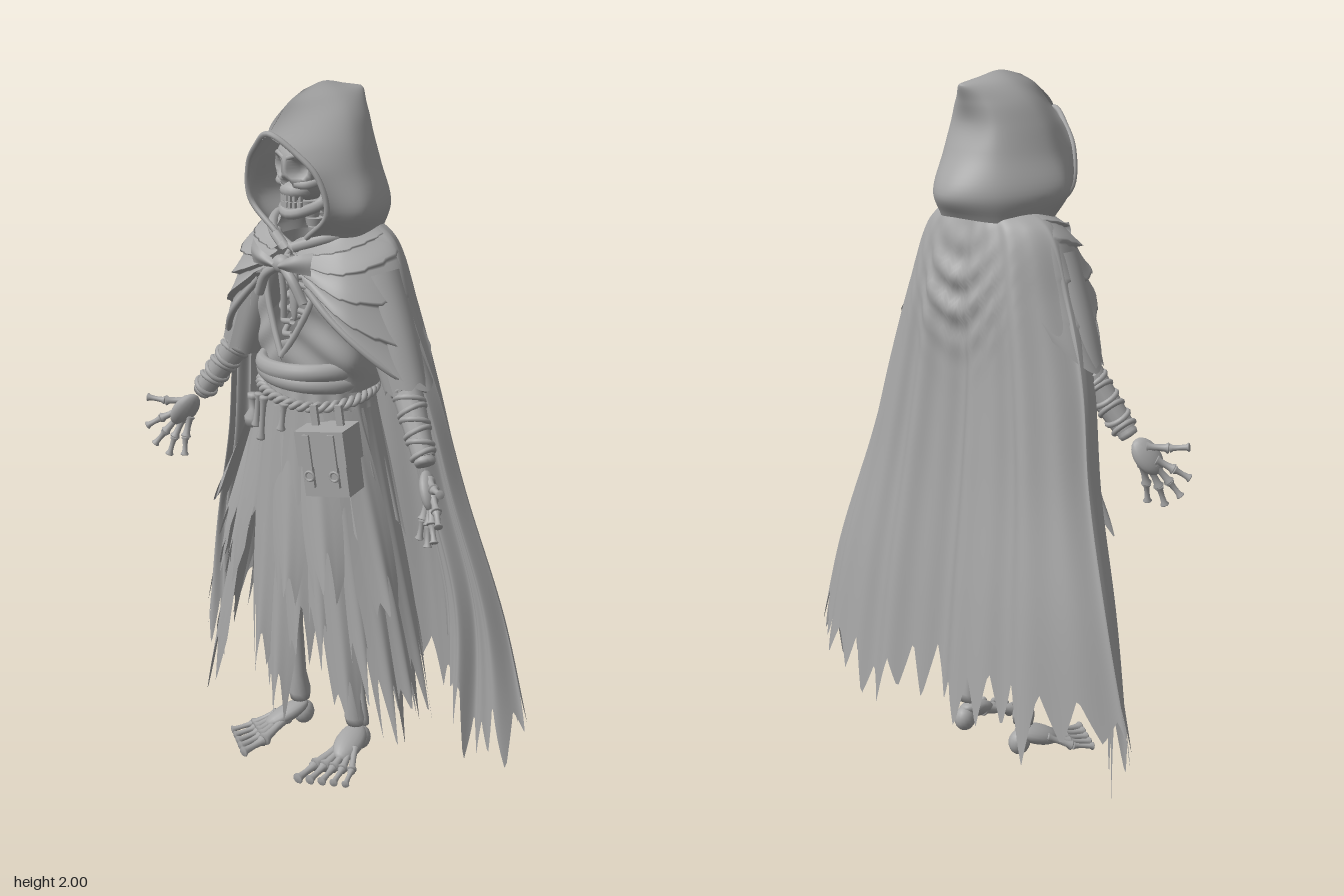
import * as THREE from 'three';

const grey = new THREE.MeshStandardMaterial({ color: 0xa6a6a6, side: THREE.DoubleSide });
grey.name = 'weathered grey';
const V = (x, y, z) => new THREE.Vector3(x, y, z);
const hash = (i, s) => { const n = Math.sin(i * 127.1 + s * 311.7) * 43758.5453; return n - Math.floor(n); };

// torn edge: spikes and notches along u, 0 = full length, 1 = deepest notch
const rag = (n, seed) => u => {
  const i = Math.floor(u * n), f = u * n - i;
  const k = j => (j % 2 ? 0.45 + 0.55 * hash(j, seed) : 0.35 * hash(j, seed + 7));
  return k(i) * (1 - f) + k(i + 1) * f;
};
// half a row, back centre outwards, mirrored to a whole row
const sym = row => [...row.slice(1).reverse().map(([x, y, z]) => [-x, y, z]), ...row];

export function createModel() {
  const root = new THREE.Group();
  root.name = 'hoodedSkeleton';
  const add = (name, geo, pos, parent = root) => {
    const m = new THREE.Mesh(geo, grey);
    m.name = name;
    if (pos) m.position.set(...pos);
    parent.add(m);
    return m;
  };
  // smooth sheet through rows of points
  const cloth = (name, rows, { nu = 60, nv = 30, torn = () => 0, fold = () => {} } = {}) => {
    const curves = rows.map(r => new THREE.CatmullRomCurve3(r.map(p => V(...p))));
    const pos = [], idx = [];
    for (let i = 0; i <= nu; i++) {
      const u = i / nu, col = new THREE.CatmullRomCurve3(curves.map(c => c.getPoint(u))), end = 1 - torn(u);
      for (let j = 0; j <= nv; j++) {
        const v = j / nv * end, p = col.getPoint(v);
        fold(p, u, v);
        pos.push(p.x, p.y, p.z);
        if (i < nu && j < nv) {
          const a = i * (nv + 1) + j, b = a + nv + 1;
          idx.push(a, a + 1, b, b, a + 1, b + 1);
        }
      }
    }
    const g = new THREE.BufferGeometry();
    g.setAttribute('position', new THREE.Float32BufferAttribute(pos, 3));
    g.setIndex(idx);
    g.computeVertexNormals();
    return add(name, g);
  };
  const tube = (name, pts, r, closed = false, seg = 24) =>
    add(name, new THREE.TubeGeometry(new THREE.CatmullRomCurve3(pts.map(p => V(...p)), closed), seg, r, 8, closed));
  const ball = (name, pos, r, sc = [1, 1, 1]) => {
    const m = add(name, new THREE.SphereGeometry(r, 16, 12), pos);
    m.scale.set(...sc);
    return m;
  };
  const along = (m, a, b) => {
    m.position.set(...a);
    m.quaternion.setFromUnitVectors(V(0, 1, 0), V(...b).sub(V(...a)).normalize());
    return m;
  };
  // knobbed bone between two joints
  const shaft = [[0, 0], [1.3, 0.01], [1.5, 0.06], [1, 0.18], [0.85, 0.5], [1, 0.82], [1.5, 0.94], [1.3, 0.99], [0, 1]];
  const bone = (name, a, b, r) => {
    const len = V(...a).distanceTo(V(...b));
    return along(add(name, new THREE.LatheGeometry(shaft.map(([x, y]) => new THREE.Vector2(x * r, y * len)), 10)), a, b);
  };
  const ellipse = (y, rx, rz, zc, a0, a1, n) => Array.from({ length: n + 1 }, (_, i) => {
    const a = (a0 + (a1 - a0) * i / n) * Math.PI / 180;
    return [Math.sin(a) * rx, y, zc + Math.cos(a) * rz];
  });

  // hood: rows from hem to the peak seam, each from the back round to the brim
  const hoodRows = [
    [[0, 1.61, -0.14], [0.12, 1.6, -0.08], [0.165, 1.6, 0.07], [0.06, 1.6, 0.16]],
    [[0, 1.67, -0.175], [0.13, 1.67, -0.1], [0.205, 1.68, 0.08], [0.145, 1.68, 0.17]],
    [[0, 1.78, -0.12], [0.105, 1.78, -0.085], [0.17, 1.78, 0.06], [0.13, 1.78, 0.19]],
    [[0, 1.86, -0.09], [0.09, 1.86, -0.07], [0.14, 1.86, 0.06], [0.075, 1.84, 0.215]],
    [[0, 1.92, -0.105], [0.07, 1.92, -0.07], [0.105, 1.92, 0.05], [0, 1.885, 0.24]],
    [[0, 1.965, -0.12], [0.04, 1.965, -0.07], [0.06, 1.965, 0.03], [0, 1.955, 0.17]],
    [[0, 1.972, -0.115], [0, 1.985, -0.05], [0, 2, 0.03], [0, 1.985, 0.11]]];
  cloth('hood', hoodRows.map(sym), { nu: 64, nv: 40 });
  const brim = hoodRows.slice(0, 5).map(r => r[3]);
  tube('hoodBrim', [...brim, ...brim.slice(0, 4).reverse().map(([x, y, z]) => [-x, y, z])], 0.008, false, 60);

  // cape, draped in swags behind the shoulders and torn along the hem
  const capeTear = rag(62, 3);
  cloth('cape', [
    [[0, 1.64, -0.08], [0.08, 1.64, -0.07], [0.15, 1.635, 0], [0.13, 1.63, 0.06], [0.09, 1.62, 0.11]],
    [[0, 1.58, -0.1], [0.13, 1.58, -0.095], [0.235, 1.58, 0], [0.2, 1.56, 0.08], [0.11, 1.55, 0.14]],
    [[0, 1.4, -0.125], [0.18, 1.4, -0.125], [0.305, 1.4, 0], [0.28, 1.4, 0.07], [0.2, 1.4, 0.12]],
    [[0, 1.18, -0.135], [0.22, 1.18, -0.145], [0.385, 1.18, -0.02], [0.36, 1.18, 0.03], [0.28, 1.18, 0.05]],
    [[0, 0.9, -0.165], [0.26, 0.9, -0.175], [0.455, 0.9, -0.06], [0.42, 0.9, -0.01], [0.34, 0.9, 0.01]],
    [[0, 0.55, -0.21], [0.3, 0.55, -0.225], [0.57, 0.55, -0.1], [0.51, 0.55, -0.04], [0.41, 0.62, -0.01]],
    [[0, 0.16, -0.25], [0.33, 0.14, -0.265], [0.67, 0.2, -0.11], [0.53, 0.02, -0.03], [0.43, 0.46, -0.01]],
  ].map(sym), { nu: 296, nv: 60, torn: u => 0.1 * capeTear(u), fold: (p, u, v) => {
    const w = Math.min(1, v * 1.6);
    p.z += w * (0.013 * Math.cos((u - 0.5) * 58) + 0.006 * Math.sin(u * 117 + 1));
    if (p.z < -0.05) {
      const swag = Math.exp(-((p.x / 0.12) ** 2) - (((p.y - 1.4) / 0.13) ** 2));
      p.z -= 0.012 * swag * (1 + Math.sin((p.y - p.x * p.x * 6) * 62));
    }
  } });

  // robe body, open in a V over the ribs
  cloth('robeBody', [
    [[0, 1.56, -0.07], [0.14, 1.56, -0.05], [0.17, 1.55, 0.05], [0.1, 1.54, 0.13]],
    [[0, 1.44, -0.08], [0.16, 1.44, -0.05], [0.19, 1.43, 0.08], [0.085, 1.43, 0.165]],
    [[0, 1.34, -0.08], [0.16, 1.34, -0.05], [0.185, 1.33, 0.1], [0.045, 1.34, 0.18]],
    [[0, 1.26, -0.08], [0.15, 1.26, -0.05], [0.18, 1.25, 0.1], [0.004, 1.27, 0.2]],
    [[0, 1.17, -0.07], [0.14, 1.17, -0.05], [0.165, 1.17, 0.09], [0, 1.17, 0.2]],
  ].map(sym), { nu: 80, fold: (p, u, v) => { if (p.z > 0) p.z += 0.006 * Math.sin(p.y * 60 + Math.abs(p.x) * 45); } });
  for (const [y, r, tilt] of [[1.225, 0.02, 0.05], [1.2, 0.018, -0.06]]) {
    const sash = add('sash', new THREE.TorusGeometry(0.15, r, 12, 48), [0, y, 0.06]);
    sash.rotation.set(Math.PI / 2, tilt, 0);
    sash.scale.set(1.03, 1, 1.3);
  }

  // twisted rope belt
  for (const k of [0, 1]) tube('ropeBelt', Array.from({ length: 120 }, (_, i) => {
    const a = i / 120 * Math.PI * 2, t = a * 20 + k * Math.PI;
    return [Math.sin(a) * (0.168 + 0.008 * Math.cos(t)), 1.145 + 0.008 * Math.sin(t) + 0.012 * Math.cos(a * 2 + 2),
      0.055 + Math.cos(a) * (0.152 + 0.008 * Math.cos(t))];
  }), 0.009, true, 300);

  // skirt top and hanging strips: angle, hem height, outward flare
  const skirtTear = rag(30, 9);
  cloth('skirtTop', [[1.2, 0.16, 0.14], [1.1, 0.175, 0.15], [0.95, 0.22, 0.16], [0.72, 0.28, 0.175]]
    .map(([y, rx, rz]) => ellipse(y, rx, rz, 0.05, -125, 125, 12)), {
    nu: 150, torn: u => 0.25 * skirtTear(u), fold: (p, u, v) => { const f = 1 + 0.08 * v * Math.sin(u * 70); p.x *= f; p.z *= f; } });
  [[-112, 0.4, 0], [-97, 0.25, 0], [-82, 0.18, 0], [-66, 0.45, 0.02], [-54, 0.24, 0], [-42, 0.08, 0.01], [-24, 0.66, 0], [-7, 0.26, 0],
    [4, 0.15, 0.01], [17, 0.3, 0], [30, 0.36, 0.01], [41, 0.16, 0], [53, 0.28, 0.01], [66, 0.12, 0], [80, 0.18, 0.01], [95, 0.2, 0],
    [108, 0.36, 0], [-72, 0.68, 0.09], [-48, 0.6, 0.05], [-32, 0.5, 0.03], [12, 0.52, 0.03], [36, 0.55, 0.04], [72, 0.5, 0.05]]
    .forEach(([deg, hem, flare], k) => {
      const a = deg * Math.PI / 180, tear = rag(5, k + 20);
      const rows = [0, 0.25, 0.5, 0.75, 1].map(t => {
        const y = 1.12 + (hem - 1.12) * t, s = (1.12 - y) / 0.95, w = 0.026 + 0.032 * Math.sin(t * 2.9);
        return [-1, -0.5, 0, 0.5, 1].map(e => {
          const b = a + e * w * 0.25, out = flare * t + (k % 2) * 0.01 + 0.016 * Math.cos(e * 3.1) * t;
          return [Math.sin(b) * (0.172 + 0.25 * s + out) + e * w * Math.cos(a), y,
            0.05 + Math.cos(b) * (0.155 + 0.045 * s + out) - e * w * Math.sin(a) * 0.8];
        });
      });
      cloth('skirtStrip', rows, { nu: 24, nv: 20, torn: u => 0.36 * tear(u) });
    });

  // skull with sunken eyes and nose
  const skull = new THREE.SphereGeometry(1, 48, 36), sp = skull.attributes.position;
  for (let i = 0; i < sp.count; i++) {
    const p = V().fromBufferAttribute(sp, i), d = p.clone();
    const dent = (x, y, r, depth) => { const q = Math.hypot(d.x - x, d.y - y) / r; if (d.z > 0 && q < 1) p.z -= depth * (1 - q * q * q); };
    dent(0.42, 0, 0.28, 0.45); dent(-0.42, 0, 0.28, 0.45); dent(0, -0.42, 0.15, 0.4);
    if (d.y < 0) p.x *= 1 + 0.25 * d.y;
    sp.setXYZ(i, p.x * 0.088, p.y * 0.1, p.z * 0.1);
  }
  skull.computeVertexNormals();
  add('skull', skull, [0, 1.785, 0.085]);
  ball('upperJaw', [0, 1.72, 0.14], 0.042, [1.1, 0.65, 0.95]);
  tube('jawBone', [[-0.07, 1.75, 0.08], [-0.062, 1.69, 0.1], [-0.032, 1.665, 0.155], [0, 1.658, 0.168], [0.032, 1.665, 0.155], [0.062, 1.69, 0.1], [0.07, 1.75, 0.08]], 0.015);
  for (let i = -3; i <= 3; i++) for (const y of [1.703, 1.685])
    add('tooth', new THREE.BoxGeometry(0.009, 0.015, 0.01), [i * 0.011, y, 0.175 - i * i * 0.0022]);

  // spine, breastbone
  for (let i = 0; i < 20; i++) {
    const y = 1.18 + i * 0.026;
    add('vertebra', new THREE.CylinderGeometry(0.025, 0.021, 0.021, 10), [0, y, y > 1.5 ? (y - 1.5) * 0.4 + 0.02 : 0.02]);
  }
  ball('breastbone', [0, 1.44, 0.148], 0.018, [0.9, 4.8, 0.6]);
  ball('pelvis', [0, 1.08, 0.03], 0.08, [1.3, 0.7, 0.8]);

  // cloak knot with hanging ends
  ball('cloakKnot', [0, 1.525, 0.195], 0.026, [1.2, 1, 0.9]);
  tube('knotDrop', [[0, 1.52, 0.2], [0.006, 1.44, 0.195], [0, 1.375, 0.19]], 0.009);

  for (const s of [-1, 1]) {
    const side = s > 0 ? 'left' : 'right', m = p => [p[0] * s, p[1], p[2]];
    const B = (n, a, b, r) => bone(side + n, m(a), m(b), r);

    // mantle over the shoulder, lying in stepped folds and tucked under the cape behind
    cloth(side + 'Mantle', [
      [[0.04, 1.575, 0.15], [0.13, 1.615, 0.1], [0.16, 1.63, 0], [0.1, 1.63, -0.05]],
      [[0.035, 1.545, 0.185], [0.18, 1.54, 0.14], [0.24, 1.57, 0], [0.17, 1.56, -0.06]],
      [[0.06, 1.515, 0.19], [0.215, 1.44, 0.16], [0.305, 1.4, 0.01], [0.22, 1.43, -0.08]],
      [[0.09, 1.47, 0.19], [0.235, 1.34, 0.155], [0.38, 1.21, 0.02], [0.31, 1.3, -0.07]],
    ].map(r => r.map(m)), { nu: 50, nv: 70, fold: (p, u, v) => {
      const t = v * 4.5 + u * 0.6, f = 0.017 * (t - Math.floor(t)) ** 2 * Math.max(0, 1 - u * u * 1.4);
      p.x += s * f; p.z += f;
    } });
    tube(side + 'MantleEdge', [[0.09, 1.47, 0.192], [0.16, 1.405, 0.183], [0.24, 1.335, 0.155], [0.32, 1.26, 0.095], [0.375, 1.21, 0.02]].map(m), 0.01);
    tube(side + 'CollarFold', [[0.02, 1.57, 0.17], [0.1, 1.6, 0.13], [0.155, 1.62, 0.04], [0.1, 1.63, -0.05]].map(m), 0.015);
    cloth(side + 'BowLoop', [[[0.01, 1.535, 0.21], [0.06, 1.56, 0.218], [0.115, 1.575, 0.19]],
      [[0.01, 1.525, 0.222], [0.06, 1.54, 0.228], [0.115, 1.545, 0.2]], [[0.01, 1.512, 0.21], [0.06, 1.515, 0.215], [0.11, 1.51, 0.195]]]
      .map(r => r.map(m)), { nu: 10, nv: 10 });
    tube(side + 'BowEnd', [[0.01, 1.52, 0.2], [0.05, 1.49, 0.207], [0.085, 1.43, 0.2]].map(m), 0.014);
    tube(side + 'RobeLapel', [[0.1, 1.52, 0.145], [0.085, 1.43, 0.168], [0.045, 1.34, 0.184], [0, 1.265, 0.2]].map(m), 0.009);

    // ribs, collar bone, face edges
    for (let i = 0; i < 7; i++) {
      const y = 1.3 + i * 0.037, w = 0.11 - Math.abs(i - 2) * 0.007;
      tube(side + 'Rib', [[0.01, y + 0.035, 0], [w, y + 0.025, 0.04], [w * 0.75, y, 0.115], [0.012, y + 0.012, 0.145]].map(m), 0.0085);
    }
    tube(side + 'CollarBone', [[0.012, 1.55, 0.13], [0.09, 1.57, 0.11], [0.18, 1.56, 0.03]].map(m), 0.011);
    tube(side + 'CheekBone', [[0.02, 1.742, 0.163], [0.05, 1.742, 0.15], [0.08, 1.762, 0.09]].map(m), 0.012);
    tube(side + 'BrowRidge', [[0.006, 1.812, 0.178], [0.038, 1.822, 0.168], [0.072, 1.8, 0.132]].map(m), 0.007);

    // arm: sleeve, bones and bandages
    B('UpperArm', [0.22, 1.5, 0.03], [0.31, 1.23, 0.04], 0.018);
    cloth(side + 'Sleeve', [[0.2, 1.5, 0.07], [0.27, 1.33, 0.066], [0.325, 1.19, 0.058]].map(([x, y, r]) =>
      ellipse(y, r, r * 0.95, 0.04, 0, 360, 10).map(p => m([p[0] + x, p[1] + p[0] * 0.4, p[2]]))), { nu: 40, nv: 12, torn: u => 0.12 * rag(14, 5)(u) });
    const elbow = [0.31, 1.23, 0.04], wrist = [0.445, 1.03, 0.1];
    B('Forearm', elbow, wrist, 0.02);
    along(add(side + 'ForearmWrap', new THREE.CylinderGeometry(0.031, 0.044, 0.21, 12).translate(0, 0.12, 0)), m(elbow), m(wrist));
    for (let i = 0; i < 7; i++) {
      const t = 0.12 + i * 0.125, r = 0.042 - 0.012 * t;
      const wrap = along(add(side + 'Bandage', new THREE.TorusGeometry(r, 0.008, 8, 20).rotateX(Math.PI / 2 + (i % 2 ? 0.3 : -0.2))), m(elbow), m(wrist));
      wrap.position.lerp(V(...m(wrist)), t);
    }

    // hand
    along(ball(side + 'Palm', [0, 0, 0], 0.036, [1.1, 1.6, 0.6]), m([0.482, 0.977, 0.13]), m([0.51, 0.93, 0.15]));
    [[[0.48, 1.005, 0.125], [0.53, 1.003, 0.165], [0.578, 1.01, 0.195]], [[0.505, 0.97, 0.14], [0.545, 0.945, 0.17], [0.578, 0.92, 0.2]],
      [[0.5, 0.955, 0.14], [0.53, 0.905, 0.17], [0.555, 0.865, 0.19]], [[0.49, 0.95, 0.13], [0.505, 0.89, 0.155], [0.515, 0.835, 0.17]],
      [[0.472, 0.955, 0.12], [0.472, 0.895, 0.14], [0.468, 0.84, 0.15]]].forEach(([a, b, c]) => {
      B('FingerBase', a, b, 0.0105);
      B('FingerTip', b, c, 0.0085);
    });

    // leg and foot
    const ankle = [0.118, 0.1, 0.015];
    B('Thigh', [0.085, 1.05, 0.03], [0.1, 0.64, 0.065], 0.024);
    ball(side + 'Kneecap', m([0.1, 0.62, 0.085]), 0.03, [0.9, 1.15, 0.8]);
    B('Shin', [0.1, 0.62, 0.06], ankle, 0.023);
    B('CalfBone', [0.125, 0.57, 0.04], [0.143, 0.1, 0.005], 0.009);
    ball(side + 'Heel', m([0.118, 0.05, 0]), 0.034, [0.9, 1.1, 1]);
    along(ball(side + 'Instep', [0, 0, 0], 0.04, [1.05, 1.9, 0.65]), m([0.132, 0.062, 0.06]), m([0.155, 0.036, 0.14]));
    for (let i = 0; i < 5; i++) {
      const k = [0.108 + i * 0.025, 0.025, 0.185 - i * 0.013], r = 0.014 - i * 0.001;
      B('FootBone', [0.118 + i * 0.011, 0.058, 0.07], k, r);
      B('Toe', k, [k[0] + 0.006 + i * 0.006, 0.015, 0.265 - i * 0.018], r * 0.8);
    }
  }

  // satchel on the left hip
  const bag = new THREE.Group();
  bag.name = 'satchel';
  bag.position.set(0.185, 1.005, 0.195);
  bag.rotation.set(0, 0.3, 0.14);
  root.add(bag);
  add('satchelBody', new THREE.BoxGeometry(0.135, 0.18, 0.09), null, bag);
  add('satchelFlap', new THREE.BoxGeometry(0.148, 0.1, 0.104), [0, 0.048, 0.002], bag);
  for (const x of [-0.038, 0.038]) {
    add('satchelStrap', new THREE.BoxGeometry(0.02, 0.15, 0.012), [x, 0.015, 0.056], bag);
    add('satchelBuckle', new THREE.TorusGeometry(0.013, 0.004, 6, 12), [x, -0.025, 0.064], bag);
    add('satchelLoop', new THREE.BoxGeometry(0.02, 0.07, 0.012), [x, 0.12, -0.01], bag);
  }

  // flask and charms hung from the belt
  add('flask', new THREE.LatheGeometry([[0, 0], [0.024, 0.004], [0.027, 0.03], [0.011, 0.055], [0.011, 0.08], [0.017, 0.086], [0.017, 0.098], [0, 0.1]]
    .map(p => new THREE.Vector2(...p)), 14), [-0.14, 1.02, 0.175]);
  [[-0.085, 0.1, 0.205], [-0.055, 0.13, 0.215], [0.03, 0.08, 0.22]].forEach(([x, l, z]) => {
    bone('beltCharm', [x, 1.14, z], [x - 0.01, 1.14 - l, z + 0.005], 0.009);
  });
  return root;
}
